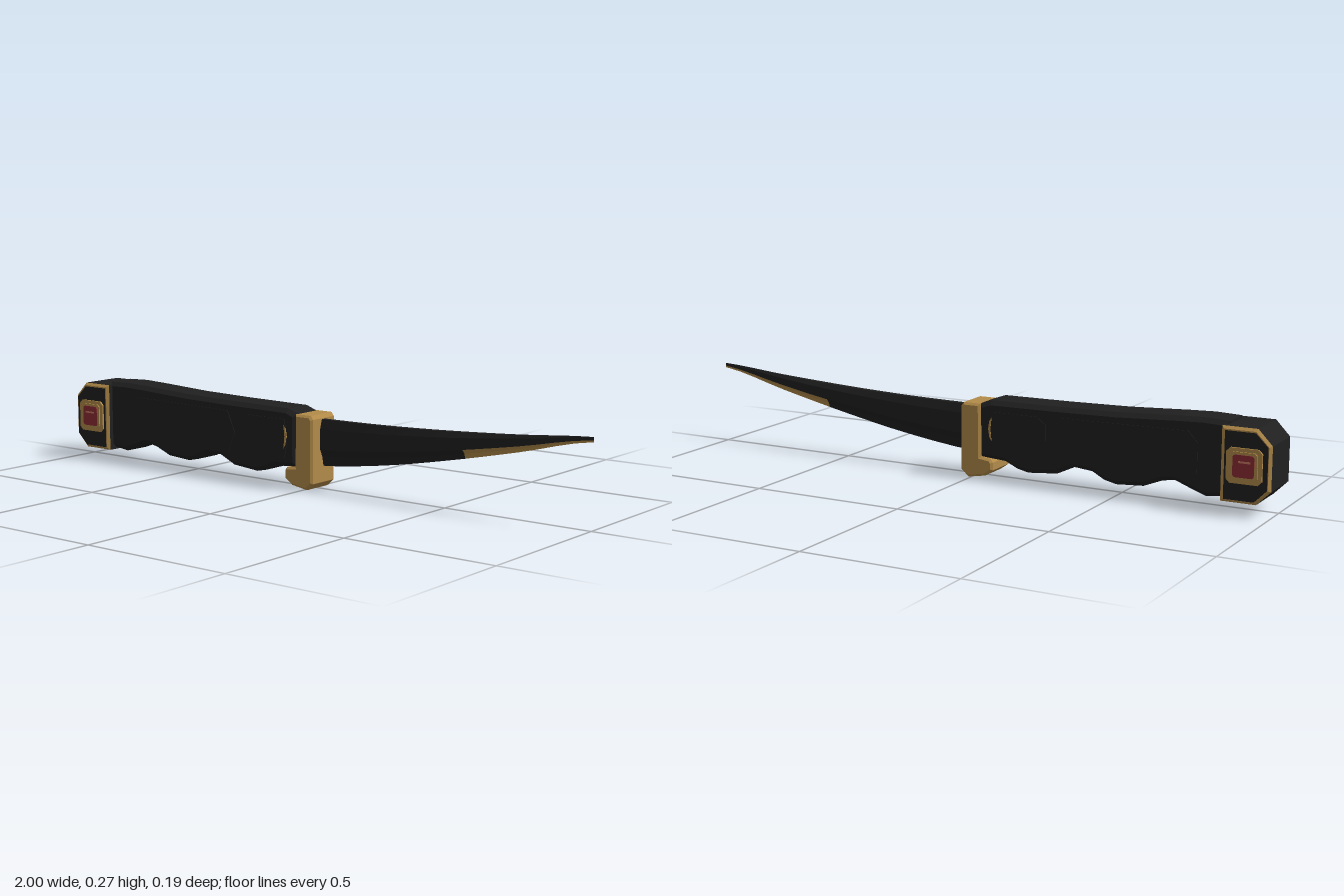
import * as THREE from 'three';

const paint = (name, color) => {
  const m = new THREE.MeshStandardMaterial({ color });
  m.name = name;
  return m;
};

export function createModel() {
  const gold = paint('gold', 0xb48c4a);
  const black = paint('black', 0x202020);
  const red = paint('red', 0x8c2c34);
  const pink = paint('pale red', 0xc87862);
  const model = new THREE.Group();

  const add = (name, geometry, material) => {
    const mesh = new THREE.Mesh(geometry, material);
    mesh.name = name;
    model.add(mesh);
    return mesh;
  };

  // Outline in x and y, extruded from z0 to z1 with an inward chamfer
  const slab = (points, z0, z1, bevel = 0) => {
    const shape = new THREE.Shape(points.map(([x, y]) => new THREE.Vector2(x, y)));
    return new THREE.ExtrudeGeometry(shape, {
      depth: z1 - z0 - 2 * bevel, bevelEnabled: bevel > 0, bevelSegments: 1,
      bevelThickness: bevel, bevelSize: bevel, bevelOffset: -bevel,
    }).translate(0, 0, z0 + bevel);
  };

  // The same plate on the front and the back
  const bothSides = (name, points, z0, z1, material, bevel = 0) => {
    add(name + 'Front', slab(points, z0, z1, bevel), material);
    add(name + 'Back', slab(points, -z1, -z0, bevel), material);
  };

  // Rectangle with cut corners
  const cutBox = (x0, x1, y0, y1, c) => [
    [x0 + c, y0], [x1 - c, y0], [x1, y0 + c], [x1, y1 - c],
    [x1 - c, y1], [x0 + c, y1], [x0, y1 - c], [x0, y0 + c],
  ];

  // Handle with finger grooves
  add('handle', slab([
    [-0.86, 0.045], [-0.79, 0.036], [-0.75, 0.05], [-0.69, 0.073], [-0.65, 0.066],
    [-0.59, 0.042], [-0.5, 0.036], [-0.46, 0.045], [-0.42, 0.067], [-0.36, 0.073],
    [-0.3, 0.045], [-0.2, 0.036], [-0.16, 0.045], [-0.12, 0.064], [-0.03, 0.07],
    [-0.03, 0.24], [-0.07, 0.254], [-0.3, 0.256], [-0.5, 0.26], [-0.7, 0.27],
    [-0.78, 0.273], [-0.86, 0.27],
  ], -0.06, 0.06, 0.014), black);

  // Shallow grip panels
  bothSides('gripPanel', [
    [-0.765, 0.105], [-0.735, 0.085], [-0.315, 0.085], [-0.285, 0.155],
    [-0.315, 0.225], [-0.735, 0.23], [-0.765, 0.198],
  ], 0.058, 0.062, black);
  bothSides('frontGripPanel', [
    [-0.265, 0.125], [-0.22, 0.09], [-0.075, 0.095], [-0.065, 0.15],
    [-0.075, 0.22], [-0.235, 0.22], [-0.265, 0.198],
  ], 0.058, 0.062, black);
  bothSides('goldInlay', [
    [-0.078, 0.125], [-0.07, 0.14], [-0.066, 0.165], [-0.07, 0.19],
    [-0.078, 0.203], [-0.074, 0.165],
  ], 0.06, 0.063, gold);

  // Pommel: gold chamfered rims, black core and black side faces
  const pommel = [
    [-0.955, 0.036], [-0.845, 0.036], [-0.845, 0.262],
    [-0.955, 0.262], [-1, 0.215], [-1, 0.08],
  ];
  add('pommelCore', slab(pommel, -0.075, 0.075), black);
  bothSides('pommelRim', pommel, 0.067, 0.083, gold, 0.008);
  bothSides('pommelFace', [
    [-0.951, 0.045], [-0.857, 0.045], [-0.857, 0.25],
    [-0.951, 0.25], [-0.99, 0.211], [-0.99, 0.084],
  ], 0.08, 0.084, black);

  // Stepped gem setting
  bothSides('gemBase', cutBox(-0.975, -0.865, 0.097, 0.203, 0.012), 0.083, 0.09, gold);
  bothSides('gemCollar', cutBox(-0.962, -0.878, 0.108, 0.192, 0.008), 0.089, 0.094, gold);
  bothSides('gem', cutBox(-0.953, -0.887, 0.117, 0.184, 0.006), 0.093, 0.096, red);
  bothSides('gemGlint', cutBox(-0.942, -0.904, 0.16, 0.166, 0.001), 0.095, 0.0965, pink);

  // Guard with a hooked lower end
  add('guard', slab([
    [-0.078, 0.03], [-0.05, 0.01], [0.01, 0], [0.035, 0.022], [0.035, 0.228],
    [0.026, 0.24], [-0.034, 0.24], [-0.036, 0.07], [-0.07, 0.066], [-0.078, 0.055],
  ], -0.06, 0.06, 0.007), gold);

  // Blade: curved spine and cutting edge, lofted through cross-sections
  const curve = (pts) => new THREE.SplineCurve(pts.map(([x, y]) => new THREE.Vector2(x, y)));
  const spine = curve([[0.02, 0.225], [0.265, 0.228], [0.51, 0.237], [0.755, 0.252], [1, 0.272]]);
  const edge = curve([[0.02, 0.073], [0.265, 0.102], [0.51, 0.147], [0.755, 0.2], [1, 0.257]]);
  const section = (t) => {
    const x = 0.02 + 0.98 * t;
    const top = spine.getPoint(t).y, low = edge.getPoint(t).y, h = top - low;
    const w = 0.017 * Math.min(1, (1 - t) / 0.4);
    return [
      [0, low], [w * 0.35, low + h * 0.2], [w, low + h * 0.36], [w, low + h * 0.8], [w * 0.5, top],
      [-w * 0.5, top], [-w, low + h * 0.8], [-w, low + h * 0.36], [-w * 0.35, low + h * 0.2],
    ].map(([z, y]) => [x, y, z]);
  };
  const steps = 16, goldFrom = 9;
  const steel = [], bevel = [];
  for (let i = 0; i < steps; i++) {
    const a = section(i / steps), b = section((i + 1) / steps), n = a.length;
    for (let j = 0; j < n; j++) {
      const k = (j + 1) % n;
      const target = i >= goldFrom && (j < 2 || j > 6) ? bevel : steel;
      target.push(...a[j], ...b[j], ...b[k], ...a[j], ...b[k], ...a[k]);
    }
  }
  const faces = (list) => {
    const g = new THREE.BufferGeometry();
    g.setAttribute('position', new THREE.Float32BufferAttribute(list, 3));
    g.computeVertexNormals();
    return g;
  };
  add('blade', faces(steel), black);
  add('bladeGoldEdge', faces(bevel), gold);

  return model;
}
